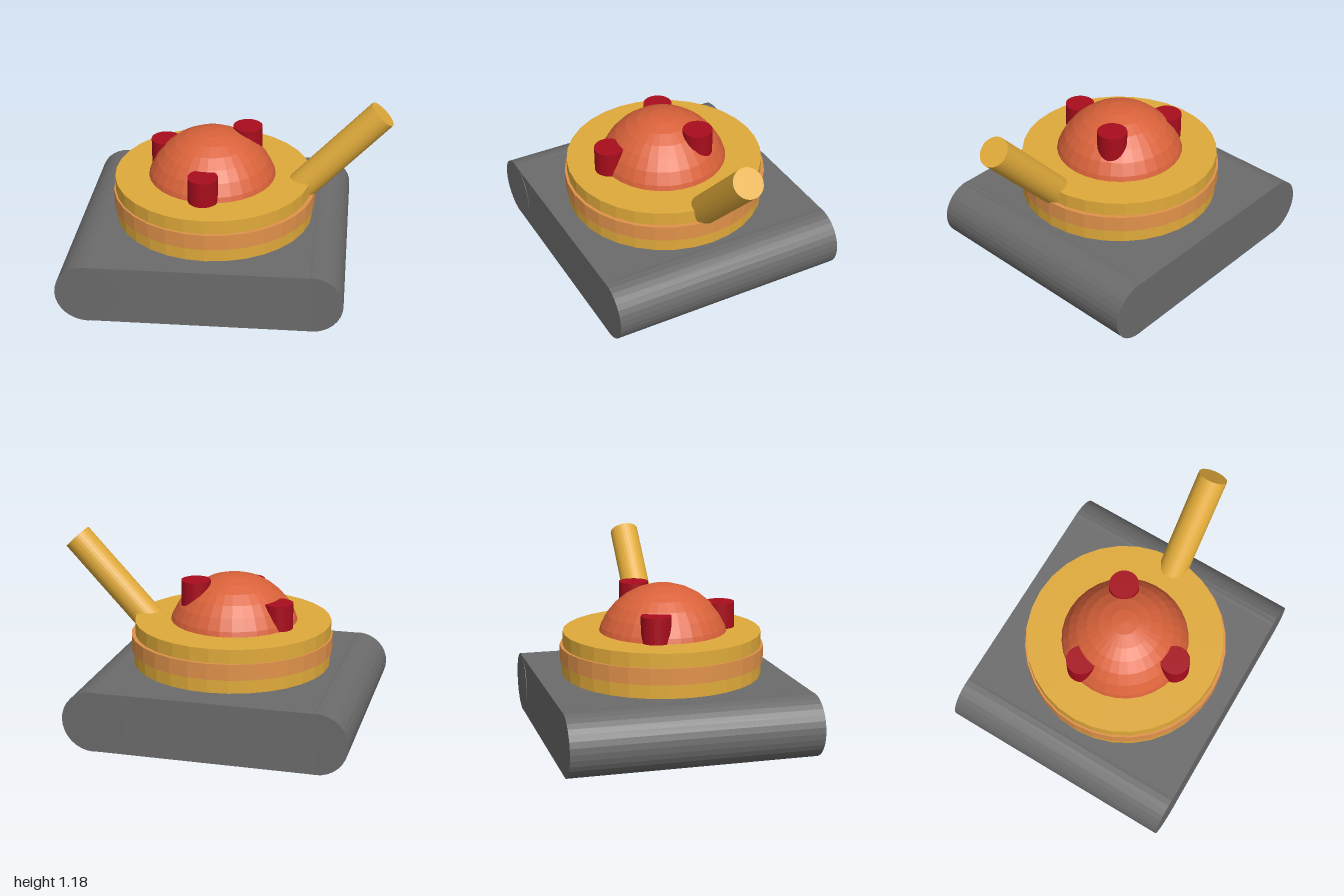
import * as THREE from 'three';

export function createModel() {
  const model = new THREE.Group();
  const mat = (color) => new THREE.MeshStandardMaterial({ color, flatShading: true });
  const grey = mat(0x6b6b6b), yellow = mat(0xe0aa3a), orange = mat(0xe0924a);
  const rust = mat(0xd9623a), red = mat(0xa80d1c);

  const add = (name, geometry, material, x, y, z) => {
    const mesh = new THREE.Mesh(geometry, material);
    mesh.name = name;
    mesh.position.set(x, y, z);
    model.add(mesh);
    return mesh;
  };
  const cylinder = (r, h, sides = 32) => new THREE.CylinderGeometry(r, r, h, sides);

  // Base: slab with a slightly skewed roller at each end
  add('baseSlab', new THREE.BoxGeometry(1.38, 0.376, 1.516), grey, -0.11, 0.19, 0);
  for (const [name, x] of [['rightRoller', -0.795], ['leftRoller', 0.56]]) {
    const roller = add(name, cylinder(0.19, 1.516).rotateX(Math.PI / 2), grey, x, 0.19, 0);
    roller.rotation.y = -0.02;
  }

  // Turret: three stacked rings
  add('lowerRing', cylinder(0.622, 0.085), yellow, -0.1, 0.43, 0.015);
  add('middleRing', cylinder(0.635, 0.1), orange, -0.1, 0.523, 0.015);
  add('upperRing', cylinder(0.617, 0.087), yellow, -0.107, 0.6165, 0.015);

  // Dome set into the rings
  add('dome', new THREE.SphereGeometry(0.42, 32, 16), rust, -0.113, 0.53, 0.02);

  // Hatches: upright pegs around the dome [x, top, z]
  for (const [x, top, z] of [[0.1, 0.93, -0.11], [-0.42, 0.82, -0.11], [-0.135, 0.82, 0.385]]) {
    add('hatch', cylinder(0.092, 0.26), red, x, top - 0.13, z);
  }

  // Barrel: rises outward from the ring edge
  const direction = new THREE.Vector3(0.68, 0.733, 0).normalize();
  const centre = new THREE.Vector3(0.927, 1.117, 0.043).addScaledVector(direction, -0.45);
  const barrel = add('barrel', cylinder(0.093, 0.9), yellow, centre.x, centre.y, centre.z);
  barrel.quaternion.setFromUnitVectors(new THREE.Vector3(0, 1, 0), direction);

  return model;
}
